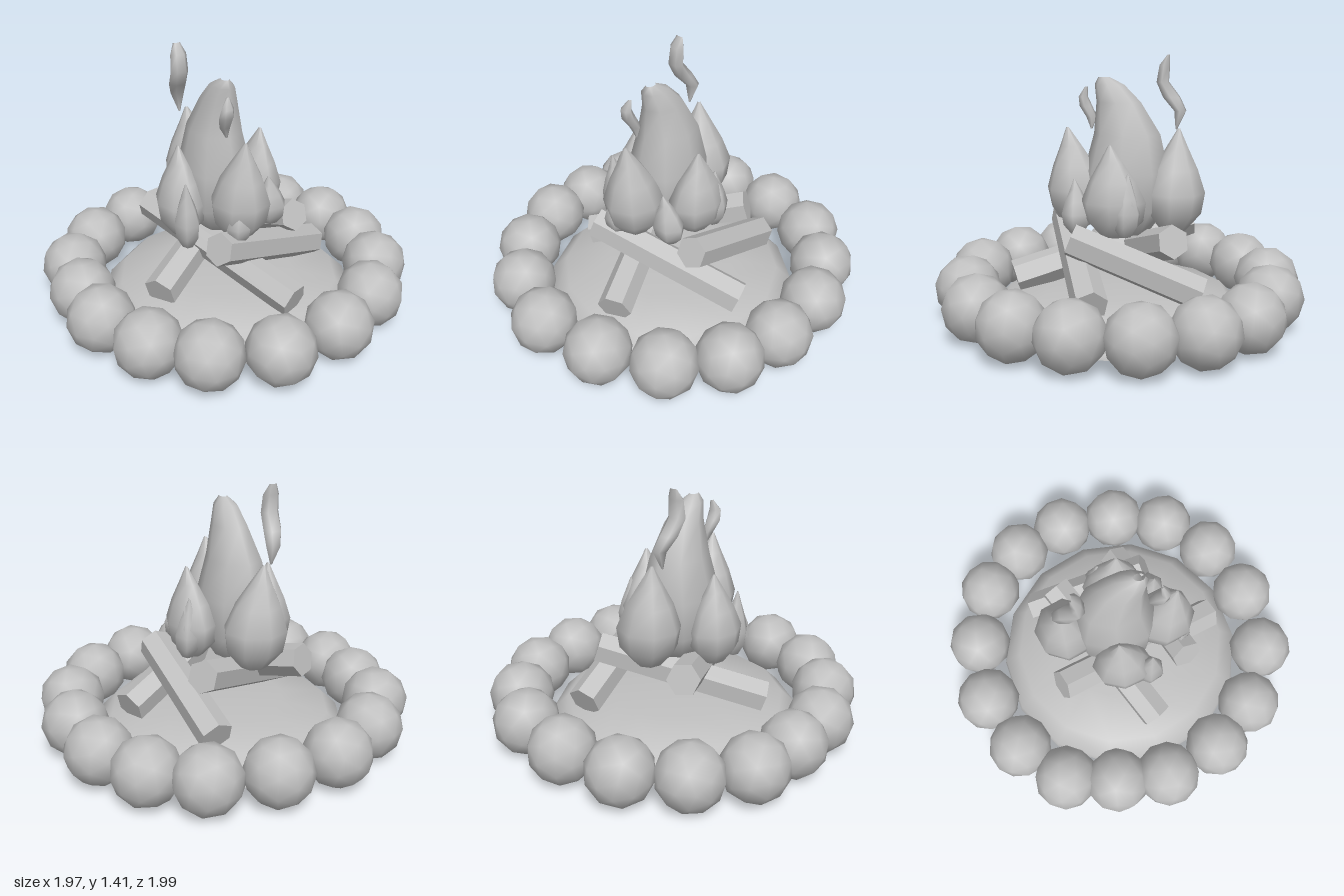
import * as THREE from 'three';
import { mergeVertices, toCreasedNormals } from 'three/addons/utils/BufferGeometryUtils.js';

const grey = new THREE.MeshStandardMaterial({ color: 0xbfbfbf });
grey.name = 'plain grey';

function addMesh(parent, name, geometry) {
  const mesh = new THREE.Mesh(geometry, grey);
  mesh.name = name;
  parent.add(mesh);
  return mesh;
}

// Smooth solid through horizontal rings [x, y, z, rx, rz], bottom to top
function loft(rings, sides = 8) {
  const pos = [], index = [];
  for (const [x, y, z, rx, rz] of rings) {
    for (let j = 0; j < sides; j++) {
      const a = (j / sides) * Math.PI * 2;
      pos.push(x + Math.cos(a) * rx, y, z + Math.sin(a) * rz);
    }
  }
  for (let i = 0; i < rings.length - 1; i++) {
    for (let j = 0; j < sides; j++) {
      const a = i * sides + j, b = i * sides + (j + 1) % sides;
      index.push(a, a + sides, b, b, a + sides, b + sides);
    }
  }
  const geo = new THREE.BufferGeometry();
  geo.setAttribute('position', new THREE.Float32BufferAttribute(pos, 3));
  geo.setIndex(index);
  geo.computeVertexNormals();
  return geo;
}

// Teardrop flame bending from its base to its tip
function teardrop([bx, y0, bz], [tx, y1, tz], rx, rz, sides) {
  const profile = [[0, 0.03], [0.03, 0.42], [0.2, 0.9], [0.4, 1], [0.62, 0.72], [0.82, 0.36], [1, 0.04]];
  return loft(profile.map(([t, r]) => {
    const k = t * t;
    return [bx + (tx - bx) * k, y0 + (y1 - y0) * t, bz + (tz - bz) * k, rx * r, rz * r];
  }), sides);
}

export function createModel() {
  const model = new THREE.Group();
  model.name = 'campfire';

  // Low earth mound
  const profile = [[0, 0.02], [0.7, 0.02], [0.69, 0.06], [0.6, 0.15], [0.35, 0.19], [0, 0.2]]
    .map(([r, y]) => new THREE.Vector2(r, y));
  addMesh(model, 'ground', toCreasedNormals(new THREE.LatheGeometry(profile, 14), 0.9));

  // Ring of rounded stones: [x, z]
  const stones = new THREE.Group();
  stones.name = 'stoneRing';
  model.add(stones);
  const ball = new THREE.IcosahedronGeometry(0.178, 1);
  ball.deleteAttribute('uv');
  ball.deleteAttribute('normal');
  const stoneGeo = mergeVertices(ball);
  stoneGeo.computeVertexNormals();
  [[0.09, -0.825], [0.42, -0.74], [0.65, -0.545], [0.79, -0.265], [0.81, 0.06], [0.735, 0.36],
    [0.525, 0.61], [0.22, 0.77], [-0.14, 0.815], [-0.46, 0.69], [-0.68, 0.47], [-0.81, 0.17],
    [-0.81, -0.115], [-0.76, -0.4], [-0.55, -0.64], [-0.255, -0.8]].forEach(([x, z], i) => {
    const stone = addMesh(stones, 'stone', stoneGeo);
    stone.position.set(x, 0.182, z);
    stone.rotation.set(i * 1.3, i * 2.1, i * 0.7);
  });

  // Hexagonal logs leaning over one another: low end, high end
  const logs = new THREE.Group();
  logs.name = 'logs';
  model.add(logs);
  [[[0.52, 0.22, 0.03], [-0.23, 0.51, 0.34]],
    [[-0.48, 0.22, 0.15], [0.26, 0.5, -0.34]],
    [[0.25, 0.23, -0.48], [0.31, 0.5, 0.18]],
    [[0.1, 0.22, 0.54], [-0.31, 0.49, -0.36]]].forEach(([a, b]) => {
    const low = new THREE.Vector3(...a), high = new THREE.Vector3(...b);
    const dir = high.clone().sub(low);
    const geo = new THREE.CylinderGeometry(0.088, 0.092, dir.length(), 6).toNonIndexed();
    geo.computeVertexNormals();
    const log = addMesh(logs, 'log', geo);
    log.position.copy(low).add(high).multiplyScalar(0.5);
    log.quaternion.setFromUnitVectors(new THREE.Vector3(0, 1, 0), dir.normalize());
  });

  // Tall central flame with its tip curling forward
  const fire = new THREE.Group();
  fire.name = 'fire';
  model.add(fire);
  addMesh(fire, 'mainFlame', loft([
    [-0.06, 0.44, -0.03, 0.01, 0.01], [-0.06, 0.46, -0.03, 0.1, 0.13], [-0.06, 0.6, -0.04, 0.19, 0.22],
    [-0.06, 0.8, -0.04, 0.19, 0.23], [-0.06, 1.0, -0.045, 0.14, 0.18], [-0.055, 1.17, 0, 0.09, 0.12],
    [-0.06, 1.26, 0.05, 0.06, 0.08], [-0.06, 1.3, 0.08, 0.02, 0.03]]));

  // Surrounding flames: base, tip, half widths in x and z
  [['frontFlame', [-0.05, 0.48, 0.22], [-0.05, 1.03, 0.28], 0.155, 0.165],
    ['backFlame', [-0.05, 0.47, -0.3], [-0.09, 1.03, -0.32], 0.17, 0.165],
    ['leftFlame', [0.17, 0.48, -0.02], [0.19, 0.97, 0.0], 0.13, 0.17],
    ['rightFlame', [-0.27, 0.44, -0.02], [-0.27, 0.94, -0.04], 0.13, 0.16]]
    .forEach(([name, base, tip, rx, rz]) => addMesh(fire, name, teardrop(base, tip, rx, rz, 8)));
  [[[0.16, 0.49, 0.18], [0.13, 0.78, 0.2], 0.09, 0.08],
    [[0.23, 0.5, -0.09], [0.22, 0.83, -0.1], 0.07, 0.08],
    [[-0.3, 0.43, 0.12], [-0.31, 0.8, 0.13], 0.07, 0.08],
    [[-0.1, 0.5, 0.31], [-0.1, 0.74, 0.33], 0.07, 0.06]]
    .forEach(([base, tip, rx, rz]) => addMesh(fire, 'smallFlame', teardrop(base, tip, rx, rz, 6)));

  // Detached curling wisps
  addMesh(fire, 'tallWisp', loft([
    [-0.14, 1.02, -0.3, 0.005, 0.005], [-0.14, 1.12, -0.32, 0.04, 0.035], [-0.16, 1.19, -0.27, 0.05, 0.05],
    [-0.17, 1.27, -0.22, 0.05, 0.035], [-0.17, 1.36, -0.23, 0.045, 0.03], [-0.17, 1.415, -0.25, 0.02, 0.006]], 6));
  addMesh(fire, 'shortWisp', loft([
    [-0.09, 1.02, 0.155, 0.005, 0.005], [-0.1, 1.08, 0.155, 0.03, 0.03], [-0.11, 1.14, 0.19, 0.04, 0.035],
    [-0.11, 1.19, 0.205, 0.035, 0.025], [-0.1, 1.245, 0.185, 0.008, 0.008]], 6));

  return model;
}
